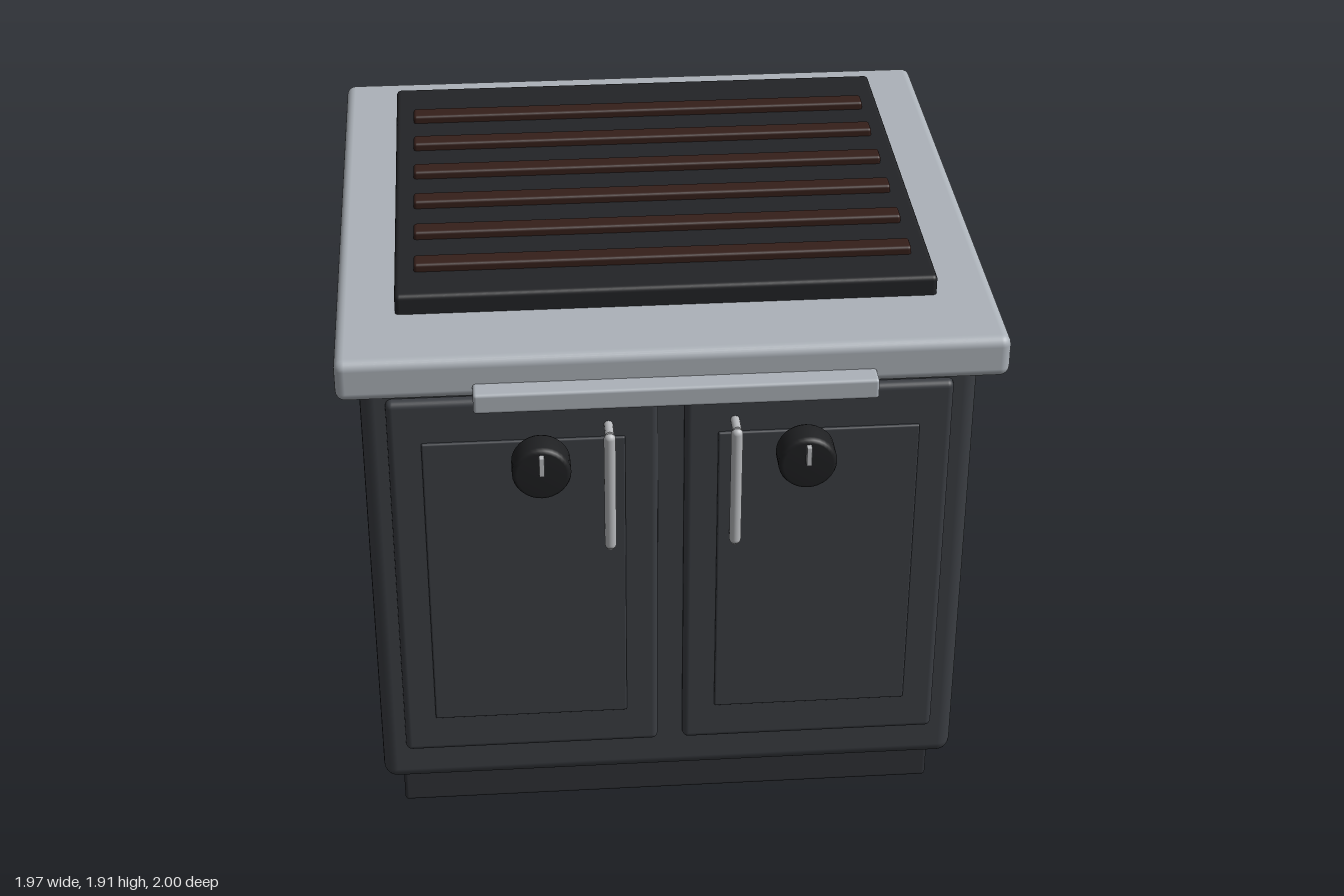
import * as THREE from 'three';
import { RoundedBoxGeometry } from 'three/addons/geometries/RoundedBoxGeometry.js';

const mat = (color) => new THREE.MeshStandardMaterial({ color });

export function createModel() {
  const model = new THREE.Group();
  model.name = 'stove';
  const enamel = mat(0x3b3e43);
  const plinthGrey = mat(0x2f3136);
  const steel = mat(0xacb2b9);
  const handleSteel = mat(0xb8babd);
  const black = mat(0x232427);
  const knobBlack = mat(0x1f2022);
  const element = mat(0x351f1a);

  // Rounded box given by its extents on each axis
  function block(parent, name, [x0, x1], [y0, y1], [z0, z1], radius, material) {
    const geometry = new RoundedBoxGeometry(x1 - x0, y1 - y0, z1 - z0, 3, radius);
    const mesh = new THREE.Mesh(geometry, material);
    mesh.position.set((x0 + x1) / 2, (y0 + y1) / 2, (z0 + z1) / 2);
    mesh.name = name;
    parent.add(mesh);
    return mesh;
  }

  // Plinth, cabinet and worktop
  block(model, 'plinth', [-0.868, 0.868], [0, 0.165], [-0.9, 0.69], 0.012, plinthGrey);
  block(model, 'cabinet', [-0.927, 0.927], [0.163, 1.695], [-0.915, 0.785], 0.045, enamel);
  block(model, 'worktop', [-0.987, 0.987], [1.69, 1.823], [-1, 0.935], 0.03, steel);
  block(model, 'towelRail', [-0.59, 0.59], [1.675, 1.74], [0.85, 1], 0.01, steel);

  // Cooking plate with six heating bars
  block(model, 'cookingPlate', [-0.81, 0.81], [1.8, 1.885], [-0.805, 0.657], 0.015, black);
  for (let i = 0; i < 6; i++) {
    const z = -0.56 + i * 0.2076;
    block(model, 'heatingBar', [-0.752, 0.752], [1.865, 1.91], [z - 0.033, z + 0.033], 0.01, element);
  }

  // Knob profile with a rounded rim, turned about its own axis
  const rim = [[0, 0], [0.074, 0], [0.083, 0.005], [0.088, 0.016], [0.088, 0.084],
    [0.083, 0.095], [0.074, 0.1], [0, 0.1]].map(([r, y]) => new THREE.Vector2(r, y));
  const knobGeometry = new THREE.LatheGeometry(rim, 32).rotateX(Math.PI / 2);

  // Each side has a panelled door, a bar handle and a knob
  for (const side of [-1, 1]) {
    const group = new THREE.Group();
    group.name = side < 0 ? 'rightDoor' : 'leftDoor';
    const span = (a, b) => (side > 0 ? [a, b] : [-b, -a]);

    block(group, 'door', span(0.04, 0.85), [0.305, 1.61], [0.74, 0.815], 0.02, enamel);
    block(group, 'doorPanel', span(0.14, 0.75), [0.44, 1.47], [0.79, 0.825], 0.006, enamel);

    const bar = new THREE.Mesh(new THREE.CapsuleGeometry(0.018, 0.376, 6, 16), handleSteel);
    bar.position.set(side * 0.19, 1.312, 0.878);
    bar.name = 'handleBar';
    group.add(bar);
    for (const y of [1.114, 1.51]) {
      const post = new THREE.Mesh(new THREE.CylinderGeometry(0.014, 0.014, 0.07, 12), handleSteel);
      post.rotation.x = Math.PI / 2;
      post.position.set(side * 0.19, y, 0.845);
      post.name = 'handlePost';
      group.add(post);
    }

    const knob = new THREE.Mesh(knobGeometry, knobBlack);
    knob.position.set(side * 0.396, 1.43, 0.857);
    knob.name = 'knob';
    group.add(knob);
    const px = side * 0.396;
    block(group, 'knobPointer', [px - 0.008, px + 0.008], [1.435, 1.5], [0.94, 0.975], 0.003, handleSteel);
    model.add(group);
  }

  return model;
}
